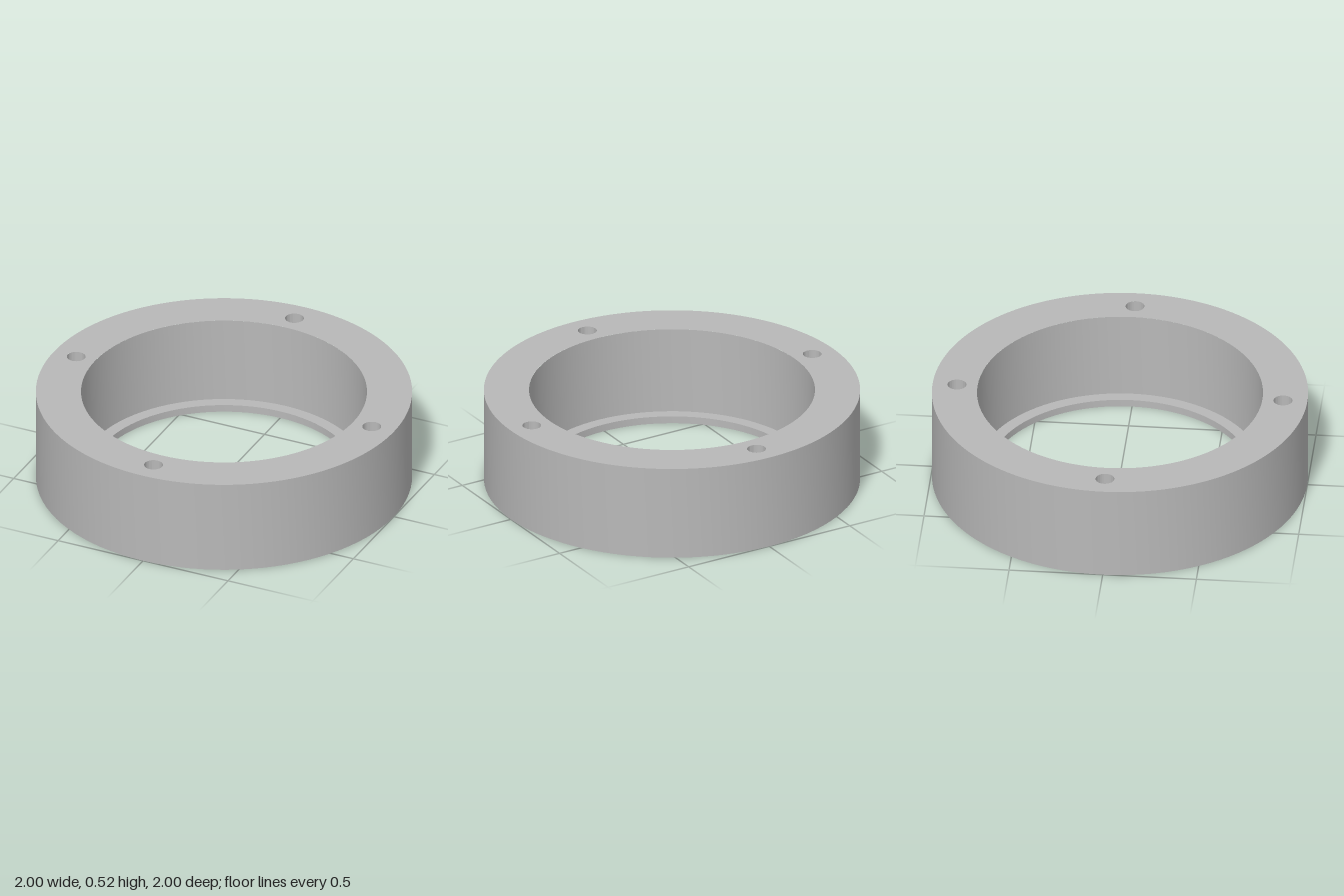
import * as THREE from 'three';
import { toCreasedNormals } from 'three/addons/utils/BufferGeometryUtils.js';

const SEG = 96;
const HEIGHT = 0.52, OUTER = 1, BORE = 0.76, LIP = 0.695, LIP_HEIGHT = 0.04;
const HOLE = 0.05, HOLE_MOUTH = 0.064, CHAMFER = 0.014, HOLE_CIRCLE = 0.87;

export function createModel() {
  const group = new THREE.Group();
  group.name = 'flangeRing';
  const metal = new THREE.MeshStandardMaterial({ color: 0xb8b8b8 });
  metal.name = 'grey metal';

  const add = (name, geometry) => {
    const mesh = new THREE.Mesh(geometry, metal);
    mesh.name = name;
    group.add(mesh);
    return mesh;
  };

  // Rising profiles face outwards, falling profiles face the axis
  const turned = (points) => toCreasedNormals(
    new THREE.LatheGeometry(points.map(([r, y]) => new THREE.Vector2(r, y)), SEG), 0.5);

  // Flat ring with the four bolt holes cut out
  const face = (inner, holeRadius) => {
    const shape = new THREE.Shape().absarc(0, 0, OUTER, 0, Math.PI * 2);
    const cut = (x, y, r) => shape.holes.push(new THREE.Path().absarc(x, y, r, 0, Math.PI * 2, true));
    cut(0, 0, inner);
    for (let i = 0; i < 4; i++) {
      const a = i * Math.PI / 2;
      cut(HOLE_CIRCLE * Math.cos(a), HOLE_CIRCLE * Math.sin(a), holeRadius);
    }
    return new THREE.ShapeGeometry(shape, SEG);
  };

  add('outerWall', turned([[OUTER, 0], [OUTER, HEIGHT]]));

  // Bore with a thin retaining lip at the bottom
  add('boreAndLip', turned([[BORE, HEIGHT], [BORE, LIP_HEIGHT], [LIP, LIP_HEIGHT], [LIP, 0]]));

  add('topFace', face(BORE, HOLE).rotateX(-Math.PI / 2)).position.y = HEIGHT;
  add('bottomFace', face(LIP, HOLE_MOUTH).rotateX(Math.PI / 2));

  // Through holes, chamfered at the bottom
  const holeGeometry = turned([[HOLE, HEIGHT], [HOLE, CHAMFER], [HOLE_MOUTH, 0]]);
  for (let i = 0; i < 4; i++) {
    const a = i * Math.PI / 2;
    add('boltHole' + (i + 1), holeGeometry)
      .position.set(HOLE_CIRCLE * Math.cos(a), 0, HOLE_CIRCLE * Math.sin(a));
  }
  return group;
}
